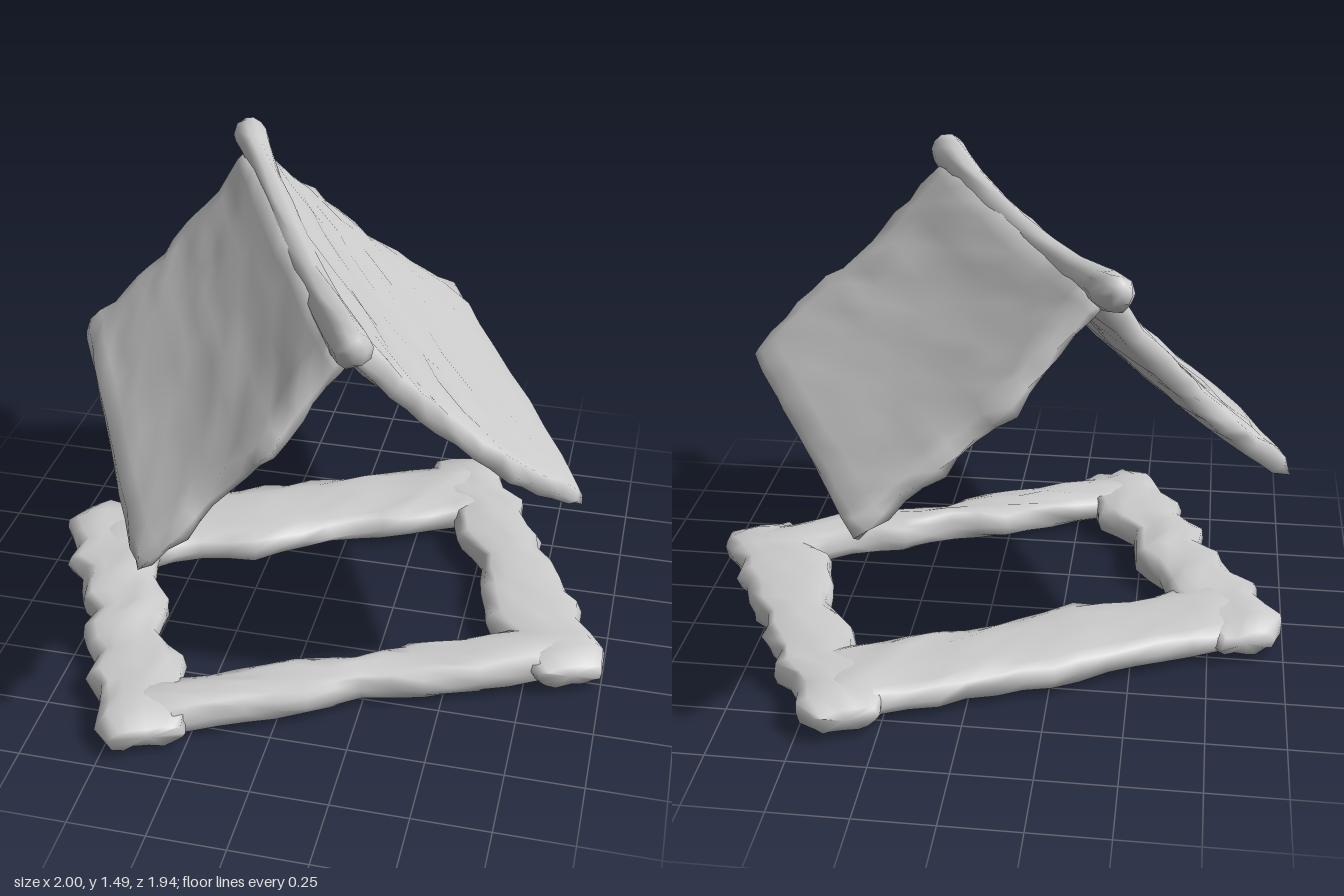
import * as THREE from 'three';

const V = (x, y, z) => new THREE.Vector3(x, y, z);

function seeded(seed) {
  return () => {
    seed = (seed * 16807) % 2147483647;
    return seed / 2147483647 - 0.5;
  };
}

// Closed skin over sections [edgeA, edgeB, halfThickness]; p near 0 is slab-like, 1 is elliptic
function loft(name, sections, { p = 0.35, n = 24, wobble = 0.012, seed = 7, lift = () => 0 } = {}) {
  const rnd = seeded(seed), pos = [], idx = [], m = sections.length;
  for (const [a, b, t] of sections) {
    const mid = a.clone().add(b).multiplyScalar(0.5);
    const half = b.clone().sub(mid);
    for (let k = 0; k < n; k++) {
      const c = Math.cos(k / n * Math.PI * 2), s = Math.sin(k / n * Math.PI * 2);
      const q = mid.clone().addScaledVector(half, c)
        .addScaledVector(t, Math.sign(s) * Math.abs(s) ** p);
      pos.push(q.x + rnd() * wobble, q.y + lift(q) + rnd() * wobble, q.z + rnd() * wobble);
    }
  }
  for (let i = 0; i < m - 1; i++) for (let k = 0; k < n; k++) {
    const a = i * n + k, b = i * n + (k + 1) % n;
    idx.push(a, b, a + n, b, b + n, a + n);
  }
  // Caps at both ends
  for (const i of [0, m - 1]) {
    const c = sections[i][0].clone().add(sections[i][1]).multiplyScalar(0.5);
    const centre = pos.length / 3;
    pos.push(c.x, c.y, c.z);
    for (let k = 0; k < n; k++) {
      const a = i * n + k, b = i * n + (k + 1) % n;
      idx.push(...(i ? [a, b, centre] : [b, a, centre]));
    }
  }
  // Turn the faces outward whichever way the sections ran
  const at = i => V(pos[3 * i], pos[3 * i + 1], pos[3 * i + 2]);
  let volume = 0;
  for (let i = 0; i < idx.length; i += 3) volume += at(idx[i]).dot(at(idx[i + 1]).cross(at(idx[i + 2])));
  if (volume < 0) idx.reverse();
  const g = new THREE.BufferGeometry();
  g.setAttribute('position', new THREE.Float32BufferAttribute(pos, 3));
  g.setIndex(idx);
  g.computeVertexNormals();
  const mesh = new THREE.Mesh(g, new THREE.MeshStandardMaterial({ color: 0xcccccc }));
  mesh.name = name;
  return mesh;
}

// Interpolate an evenly spaced list at f in 0..1
function sample(list, f) {
  const u = f * (list.length - 1), i = Math.min(Math.floor(u), list.length - 2);
  return THREE.MathUtils.lerp(list[i], list[i + 1], u - i);
}

// Sloping slab from ridge to eave, with ragged gable edges and a sagging ridge
function roofPanel(name, side, front, back, seed) {
  const ridge = V(-0.06, 1.372, 0), eave = V(side * 0.655, 0.79, 0);
  const slope = eave.clone().sub(ridge).normalize();
  const normal = V(-slope.y * side, slope.x * side, 0);
  const sections = [], steps = 14;
  for (let i = 0; i <= steps; i++) {
    const f = i / steps;
    const c = ridge.clone().lerp(eave, f).addScaledVector(normal, -0.03 * Math.sin(f * Math.PI));
    const t = normal.clone().multiplyScalar(0.053 - 0.006 * f);
    sections.push([c.clone().setZ(sample(back, f)), c.clone().setZ(sample(front, f)), t]);
  }
  // Rounded eave
  const [a, b, t] = sections[steps];
  sections.push([
    a.clone().addScaledVector(slope, 0.035).add(V(0, 0, 0.01)),
    b.clone().addScaledVector(slope, 0.035).add(V(0, 0, -0.01)),
    t.clone().multiplyScalar(0.5)]);
  const lift = q => 0.12 * q.z * q.z * Math.max(0, q.y - 0.8);
  return loft(name, sections, { p: 0.3, wobble: 0.016, seed, lift });
}

// Flat bar of the ground frame; along = 'x' or 'z', inner and outer are its edge lists
function frameBar(name, along, from, to, inner, outer, seed) {
  const sections = [], steps = 16;
  const put = (u, w) => along === 'x' ? V(u, 0.075, w) : V(w, 0.075, u);
  for (let i = 0; i <= steps; i++) {
    const f = i / steps, u = THREE.MathUtils.lerp(from, to, f);
    const end = i === 0 || i === steps;
    let a = sample(inner, f), b = sample(outer, f);
    if (end) [a, b] = [a + (b - a) * 0.1, b - (b - a) * 0.1];
    sections.push([put(u, a), put(u, b), V(0, end ? 0.035 : 0.058, 0)]);
  }
  return loft(name, sections, { p: 0.5, n: 16, wobble: 0.016, seed });
}

export function createModel() {
  const model = new THREE.Group();
  model.name = 'shelter';
  const yaw = 0.445;

  // Floating gable roof
  const roof = new THREE.Group();
  roof.name = 'roof';
  roof.position.set(-0.035, 0, -0.02);
  roof.rotation.y = yaw;
  roof.add(
    roofPanel('rightRoofPanel', -1,
      [0.74, 0.74, 0.76, 0.79, 0.75, 0.73, 0.77, 0.77],
      [-0.73, -0.71, -0.72, -0.75, -0.72, -0.75, -0.73, -0.74], 11),
    roofPanel('leftRoofPanel', 1,
      [0.74, 0.75, 0.76, 0.75, 0.78, 0.80, 0.77, 0.73],
      [-0.72, -0.72, -0.74, -0.78, -0.73, -0.75, -0.72, -0.74], 23));

  // Sagging ridge pole with knobbed ends
  const pole = [[-0.84, 0.035], [-0.81, 0.055], [-0.75, 0.058], [-0.68, 0.052], [-0.5, 0.048], [-0.25, 0.045],
    [0, 0.045], [0.25, 0.045], [0.5, 0.05], [0.66, 0.055], [0.74, 0.06], [0.8, 0.058], [0.83, 0.035]];
  roof.add(loft('ridgePole', pole.map(([z, r]) => {
    const y = 1.385 + 0.085 * z * z;
    return [V(-0.06 - r, y, z), V(-0.06 + r, y, z), V(0, r, 0)];
  }), { p: 1, n: 10, seed: 5 }));
  model.add(roof);

  // Ground frame with an open middle; short sides are notched on the outside
  const frame = new THREE.Group();
  frame.name = 'groundFrame';
  frame.position.z = 0.02;
  frame.rotation.y = yaw;
  frame.add(
    frameBar('frontBar', 'x', -0.77, 0.78,
      [0.42, 0.42, 0.43, 0.41, 0.45, 0.42, 0.43, 0.41, 0.42], [0.63, 0.61, 0.61, 0.62, 0.57, 0.61, 0.63, 0.61, 0.62], 31),
    frameBar('backBar', 'x', -0.77, 0.77,
      [-0.29, -0.27, -0.3, -0.25, -0.28, -0.3, -0.27, -0.29, -0.27], [-0.6, -0.61, -0.6, -0.61, -0.63, -0.61, -0.62, -0.61, -0.62], 43),
    frameBar('rightBar', 'z', -0.63, 0.65,
      [-0.55, -0.56, -0.53, -0.57, -0.54, -0.6, -0.53, -0.57, -0.55],
      [-0.79, -0.86, -0.80, -0.86, -0.80, -0.85, -0.80, -0.86, -0.81, -0.86, -0.82, -0.86, -0.85], 57),
    frameBar('leftBar', 'z', -0.65, 0.65,
      [0.56, 0.53, 0.57, 0.54, 0.58, 0.53, 0.5, 0.56, 0.55],
      [0.82, 0.83, 0.79, 0.84, 0.80, 0.84, 0.80, 0.84, 0.81, 0.84, 0.80, 0.84, 0.83], 71));
  model.add(frame);
  return model;
}
